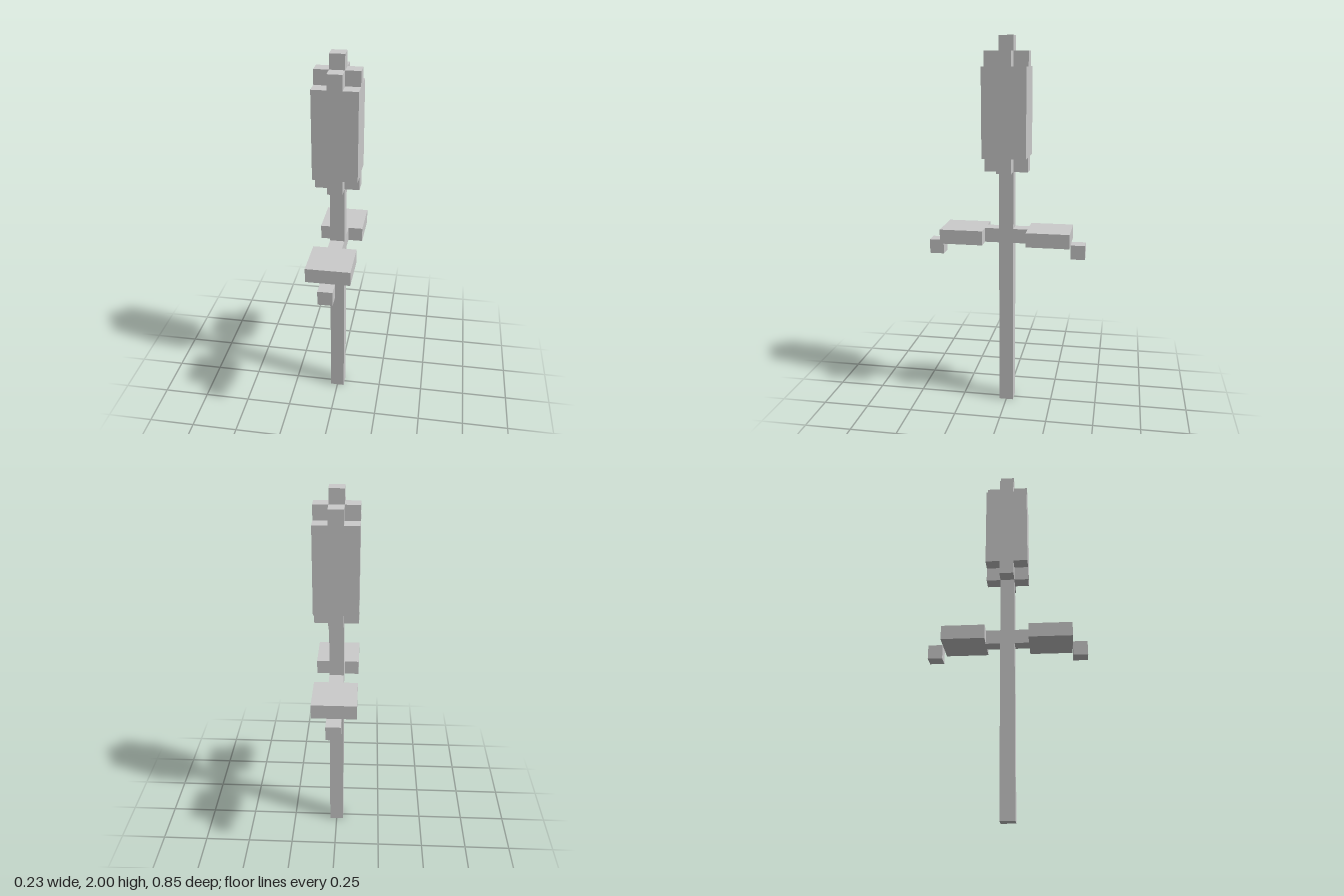
import * as THREE from 'three';

const U = 2 / 26; // one block
const material = new THREE.MeshStandardMaterial({ color: 0xcccccc, flatShading: true });

// Box measured in blocks: centred on x, spanning y0..y1 and z0..z1
function block(name, width, y0, y1, z0, z1) {
  const geometry = new THREE.BoxGeometry(width * U, (y1 - y0) * U, (z1 - z0) * U);
  geometry.translate(0, (y0 + y1) / 2 * U, (z0 + z1) / 2 * U);
  const mesh = new THREE.Mesh(geometry, material);
  mesh.name = name;
  return mesh;
}

// Cross-shaped layer, one block thick, three blocks across
function crossLayer(name, y0) {
  const a = 0.5 * U, b = 1.5 * U;
  const shape = new THREE.Shape([
    [b, -a], [b, a], [a, a], [a, b], [-a, b], [-a, a],
    [-b, a], [-b, -a], [-a, -a], [-a, -b], [a, -b], [a, -a],
  ].map(([x, y]) => new THREE.Vector2(x, y)));
  const geometry = new THREE.ExtrudeGeometry(shape, { depth: U, bevelEnabled: false });
  geometry.rotateX(-Math.PI / 2).translate(0, y0 * U, 0);
  const mesh = new THREE.Mesh(geometry, material);
  mesh.name = name;
  return mesh;
}

export function createModel() {
  const model = new THREE.Group();
  model.name = 'plant';

  model.add(block('stem', 1, 0, 17, -0.5, 0.5));

  // Flower head: full core with cross-shaped ends and a tip
  const head = new THREE.Group();
  head.name = 'flowerHead';
  head.add(
    crossLayer('headBase', 17),
    block('headCore', 3, 18, 24, -1.5, 1.5),
    crossLayer('headCrown', 24),
    block('headTip', 1, 25, 26, -0.5, 0.5),
  );
  model.add(head);

  // Front and back leaves, each with a stalk and a drooping tip
  for (const [name, angle] of [['frontLeaf', 0], ['backLeaf', Math.PI]]) {
    const leaf = new THREE.Group();
    leaf.name = name;
    leaf.add(
      block('leafStalk', 1, 12, 13, 0.5, 1.5),
      block('leafBlade', 3, 12, 13, 1.5, 4.5),
      block('leafTip', 1, 11, 12, 4.5, 5.5),
    );
    leaf.rotation.y = angle;
    model.add(leaf);
  }

  return model;
}
